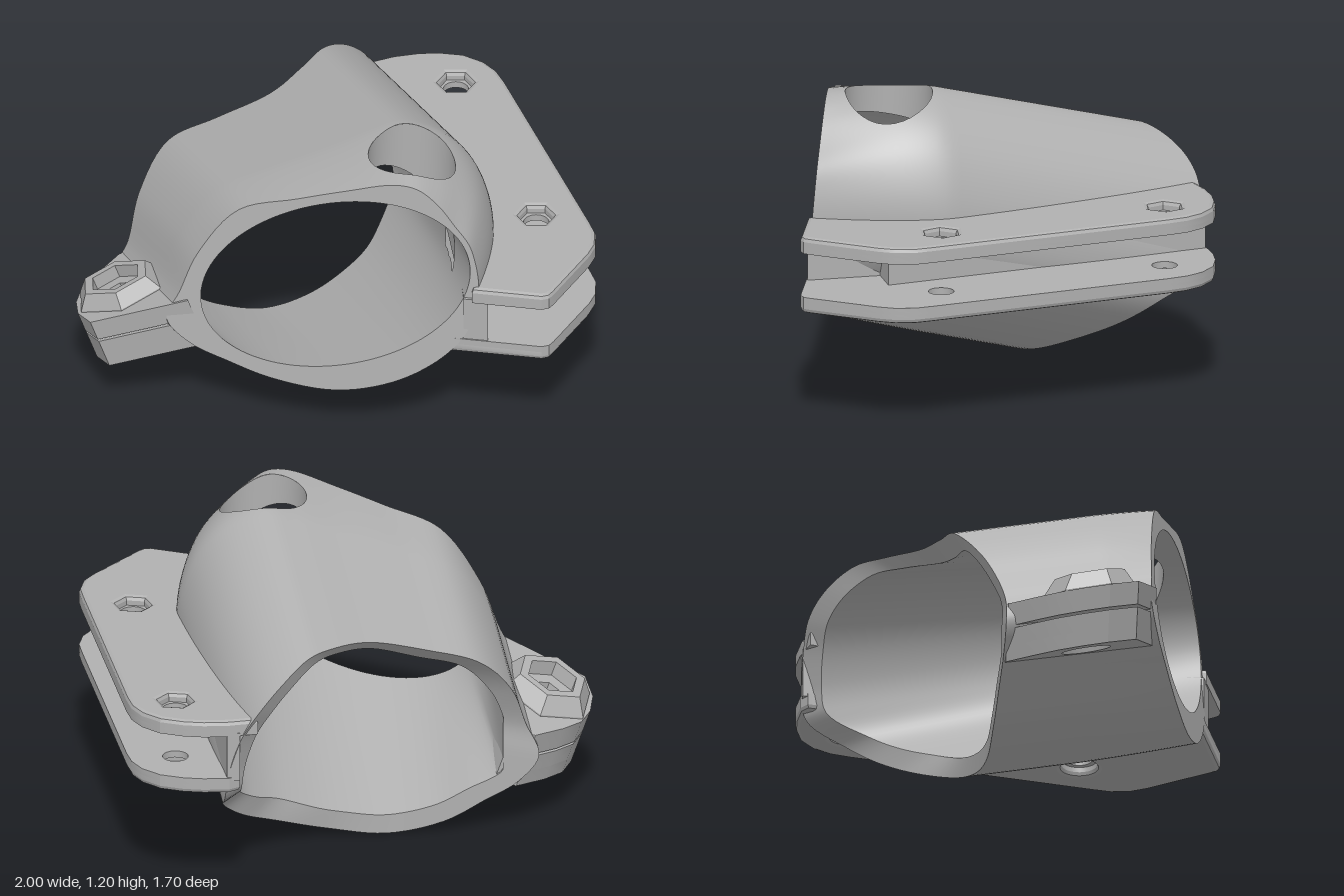
import * as THREE from 'three';
import { mergeVertices, toCreasedNormals } from 'three/addons/utils/BufferGeometryUtils.js';

const grey = new THREE.MeshStandardMaterial({ color: 0xb0b0b0, side: THREE.DoubleSide });
grey.name = 'grey plastic';

// Sleeve outline, sheared along the bore: body x, body y, rear z, front x, front y
const rows = [
  [-.75, .38, -.20, -.75, .38], [-.70, .51, -.20, -.70, .51], [-.63, .71, -.27, -.63, .69],
  [-.48, .90, -.37, -.48, .89], [-.28, .97, -.40, -.28, .94], [-.05, 1.04, -.45, -.10, .98],
  [.12, 1.10, -.57, .07, 1.01], [.24, 1.13, -.68, .15, .99], [.36, 1.09, -.78, .22, .92],
  [.45, 1.02, -.83, .28, .82], [.52, .92, -.84, .325, .74], [.57, .78, -.84, .345, .66],
  [.585, .65, -.82, .355, .56], [.56, .50, -.66, .35, .46], [.46, .36, -.52, .30, .32],
  [.30, .22, -.36, .20, .20], [.08, .10, -.24, .04, .10], [-.16, .05, -.20, -.16, .06],
  [-.38, .10, -.20, -.38, .11], [-.54, .19, -.20, -.54, .19], [-.67, .27, -.20, -.67, .27],
];
const bodyCurve = new THREE.CatmullRomCurve3(rows.map(r => new THREE.Vector3(r[0], r[1], r[2])), true);
const faceCurve = new THREE.CatmullRomCurve3(rows.map(r => new THREE.Vector3(r[3], r[4], 0)), true);
const DX = .18, DY = .28, CX = -.15, CY = .55, TILT = .35;
const HOLE = { x: .285, z: .39, r: .17 };
const lerp = THREE.MathUtils.lerp;

const place = (x, y, z) => new THREE.Vector3(x + DX * z, y + DY * z, z);
// z where a line along the bore meets the slanted front face
const frontZ = (x, y) => (.645 + .325 * x - .08 * y) / .964;

function outerPoint(u, v) {
  const b = bodyCurve.getPoint(u), f = faceCurve.getPoint(u);
  const zf = frontZ(f.x, f.y), z = lerp(zf, b.z, v);
  const w = Math.pow(THREE.MathUtils.clamp((z - .2) / (zf - .2), 0, 1), 1.5);
  return place(lerp(b.x, f.x, w), lerp(b.y, f.y, w), z);
}

// Bore: an ellipse at the front, widening to follow the shell at the rear
function innerPoint(u, v) {
  const b = bodyCurve.getPoint(u);
  const dx = b.x - CX, dy = b.y - CY, len = Math.hypot(dx, dy);
  const a = Math.atan2(dy, dx);
  const r = 1 / Math.hypot(Math.cos(a - TILT) / .49, Math.sin(a - TILT) / .365);
  const ex = CX + r * Math.cos(a), ey = CY + r * Math.sin(a), k = 1 - .078 / len;
  const bx = Math.max(-.61, CX + dx * k), by = CY + dy * k;
  const zb = b.z + .07 * THREE.MathUtils.smoothstep(-b.z, .2, .45);
  return place(lerp(ex, bx, v), lerp(ey, by, v), lerp(frontZ(ex, ey), zb, v));
}

// Signed distance to the round window in the roof
const holeField = p => p.y < .65 ? 1 : Math.hypot(p.x - HOLE.x, p.z - HOLE.z) - HOLE.r;

// Surface from a point rule; an optional field trims away its negative side
function surface(point, nu, nv, field = () => 1) {
  const out = [];
  const tri = t => {
    const poly = [];
    t.forEach((a, i) => {
      const b = t[(i + 1) % 3], fa = field(a), fb = field(b);
      if (fa >= 0) poly.push(a);
      if (fa * fb < 0) poly.push(a.clone().lerp(b, fa / (fa - fb)));
    });
    for (let i = 1; i + 1 < poly.length; i++)
      for (const p of [poly[0], poly[i], poly[i + 1]]) out.push(p.x, p.y, p.z);
  };
  const g = [];
  for (let i = 0; i <= nu; i++) {
    g.push([]);
    for (let j = 0; j <= nv; j++) g[i].push(point((i % nu) / nu, j / nv));
  }
  for (let i = 0; i < nu; i++) for (let j = 0; j < nv; j++) {
    tri([g[i][j], g[i][j + 1], g[i + 1][j]]);
    tri([g[i + 1][j], g[i][j + 1], g[i + 1][j + 1]]);
  }
  const geo = new THREE.BufferGeometry();
  geo.setAttribute('position', new THREE.Float32BufferAttribute(out, 3));
  const merged = mergeVertices(geo, 1e-5);
  merged.computeVertexNormals();
  return merged;
}

const ring = (x, z, r, n) => {
  const pts = [];
  for (let i = 0; i < n; i++) {
    const a = (i / n) * Math.PI * 2 + .15;
    pts.push(new THREE.Vector2(x + r * Math.cos(a), z + r * Math.sin(a)));
  }
  return new THREE.Path(pts);
};

// Flat slab with an x/z outline between two heights
function slab(pts, holes, y0, y1, bevel = 0) {
  const s = new THREE.Shape(pts.map(p => new THREE.Vector2(p[0], p[1])));
  s.holes.push(...holes);
  const geo = new THREE.ExtrudeGeometry(s, {
    depth: y1 - y0 - 2 * bevel, bevelEnabled: bevel > 0, bevelSize: bevel,
    bevelThickness: bevel, bevelOffset: -bevel, bevelSegments: 2,
  });
  geo.rotateX(Math.PI / 2).translate(0, y1 - bevel, 0);
  return toCreasedNormals(geo, .35);
}

export function createModel() {
  const model = new THREE.Group();
  const add = (parent, name, geo) => {
    const m = new THREE.Mesh(geo, grey);
    m.name = name;
    parent.add(m);
  };

  // Clamp sleeve: shell, bore, end faces
  const sleeve = new THREE.Group();
  sleeve.name = 'clampSleeve';
  model.add(sleeve);
  const N = 126, M = 48;
  add(sleeve, 'outerShell', surface(outerPoint, N, M, holeField));
  add(sleeve, 'bore', surface(innerPoint, N, M, holeField));
  for (const [name, v] of [['frontFace', 0], ['rearRim', 1]])
    add(sleeve, name, surface((u, t) => innerPoint(u, v).lerp(outerPoint(u, v), t), N, 1));

  // Wall of the round window, dropped from shell to bore
  const probes = [outerPoint, innerPoint].map(f => new THREE.Mesh(surface(f, N, M), grey));
  const down = new THREE.Vector3(0, -1, 0);
  const heightAt = (mesh, x, z, fallback) => {
    const hit = new THREE.Raycaster(new THREE.Vector3(x, 3, z), down).intersectObject(mesh)[0];
    return hit && hit.point.y > .65 ? hit.point.y : fallback;
  };
  add(sleeve, 'windowWall', surface((u, v) => {
    const a = u * Math.PI * 2;
    const x = HOLE.x + HOLE.r * Math.cos(a), z = HOLE.z + HOLE.r * Math.sin(a);
    const top = heightAt(probes[0], x, z, 1.1);
    return new THREE.Vector3(x, lerp(top, heightAt(probes[1], x, z, .85), v), z);
  }, 48, 1));

  // Two mounting plates joined by a web
  const mount = new THREE.Group();
  mount.name = 'mountingPlates';
  model.add(mount);
  const rim = [[.42, -.845], [.52, -.85], [.60, -.84], [.69, -.81], [.76, -.75], [.80, -.68], [.82, -.60],
    [.99, .38], [1.0, .45], [.985, .53], [.95, .59], [.77, .82], [.75, .84], [.72, .845]];
  const upper = [[.31, -.82], ...rim, [.46, .755], [.53, .5], [.57, .3], [.52, 0], [.43, -.4]];
  const lower = [[.38, -.82], ...rim, [.33, .71], [.48, .5], [.53, .3], [.51, 0], [.46, -.4]];
  const bolts = [[.63, -.63], [.79, .30]];
  const holes = (r, n) => bolts.map(([x, z]) => ring(x, z, r, n));
  add(mount, 'upperPlate', slab(upper, holes(.05, 28), .688, .715));
  add(mount, 'upperPlateTop', slab(upper, holes(.07, 6), .692, .753, .018));
  add(mount, 'lowerPlate', slab(lower, holes(.05, 28), .485, .512));
  add(mount, 'lowerPlateBottom', slab(lower, holes(.07, 28), .447, .508, .018));
  add(mount, 'web', slab([[.38, -.84], [.43, -.84], [.66, .48], [.52, .48], [.52, .77], [.43, .74],
    [.45, .5], [.48, .3], [.49, 0], [.45, -.4]], [], .50, .70));

  // Split clamp ear with nut boss, in the slanted frame of the split
  const ear = new THREE.Group();
  ear.name = 'clampEar';
  model.add(ear);
  const slant = new THREE.Matrix4().set(
    1, -.35, 0, 0,
    .33, 1, .21, .34 + .33 * .965 - .21 * .29,
    0, 0, 1, 0,
    0, 0, 0, 1);
  const earPts = [[-.935, .295], [-.57, .415], [-.655, -.195], [-.74, -.19], [-.85, -.09], [-.92, -.01],
    [-.955, .08], [-.965, .18]];
  const bolt = r => [ring(-.78, .12, r, 24)];
  for (const [name, r, y0, y1] of [['earTop', .05, .005, .09], ['earBottom', .05, -.07, -.005],
    ['earRecess', .095, -.125, -.07]])
    add(ear, name, slab(earPts, bolt(r), y0, y1).applyMatrix4(slant));
  const boss = new THREE.LatheGeometry([[.178, .07], [.178, .095], [.135, .155], [.1, .155], [.1, .1], [.045, .1],
    [.045, .02]].map(p => new THREE.Vector2(...p)), 6);
  boss.rotateY(-.15).translate(-.785, 0, .12).applyMatrix4(slant);
  add(ear, 'nutBoss', toCreasedNormals(boss, .3));

  return model;
}
